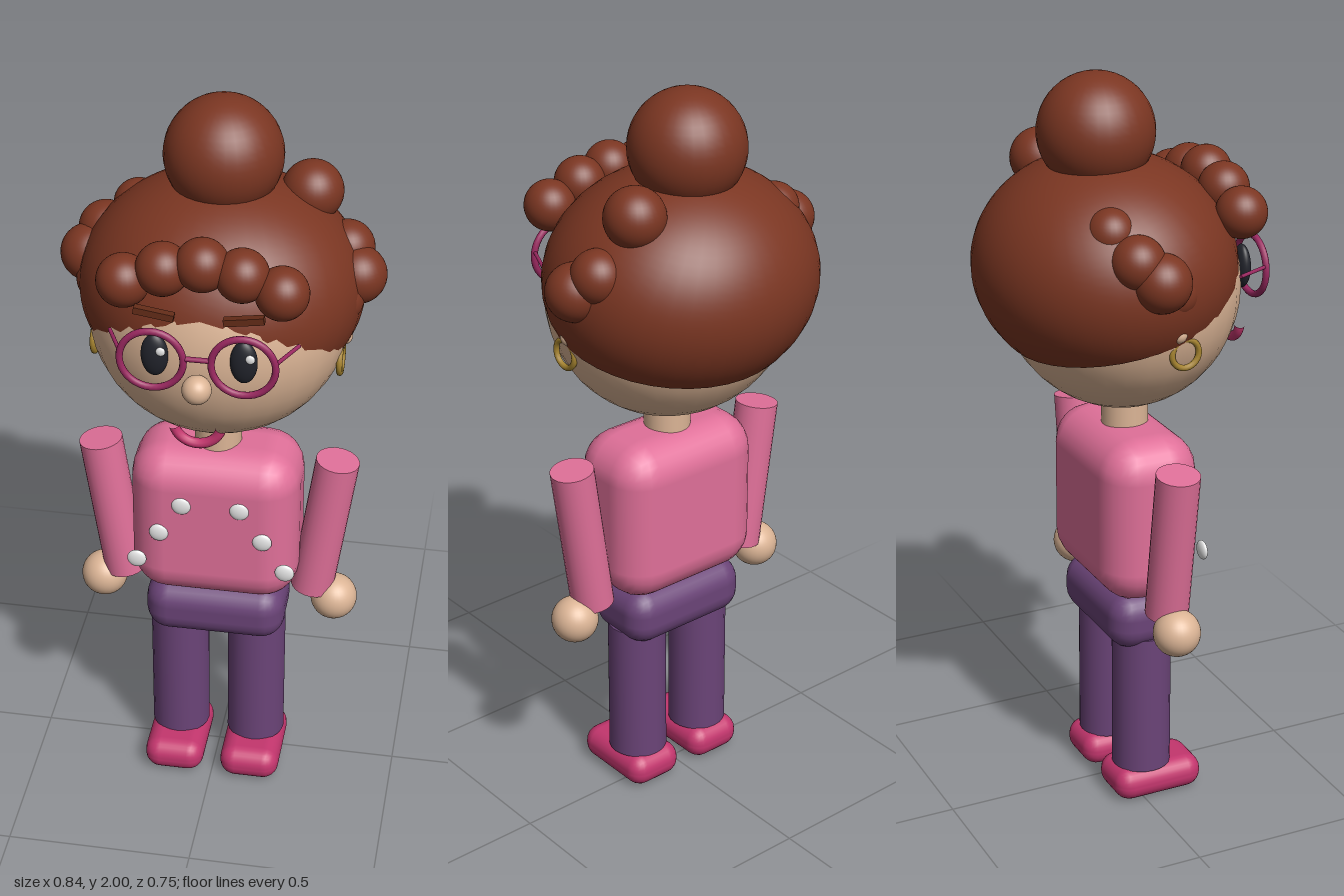
import * as THREE from 'three';
import { RoundedBoxGeometry } from 'three/addons/geometries/RoundedBoxGeometry.js';

const mat = (name, color, side = THREE.FrontSide) => {
  const m = new THREE.MeshStandardMaterial({ color, side });
  m.name = name;
  return m;
};

export function createModel() {
  const hair = mat('auburn hair', 0x7b3622, THREE.DoubleSide);
  const brow = mat('dark brow', 0x642c18);
  const skin = mat('skin', 0xdcb596);
  const pink = mat('pink sweater', 0xe07099);
  const purple = mat('purple trousers', 0x6b4478);
  const crimson = mat('crimson', 0xc4366e);
  const frame = mat('berry glasses', 0x9a2860);
  const gold = mat('gold', 0xa5832f);
  const pearl = mat('pearl', 0xe6e6e6);
  const dark = mat('eye black', 0x22242c);

  const model = new THREE.Group();
  model.name = 'character';
  const Z = 0.018; // depth of the body's centre line

  const add = (name, geometry, material, x, y, z) => {
    const mesh = new THREE.Mesh(geometry, material);
    mesh.name = name;
    mesh.position.set(x, y, z);
    model.add(mesh);
    return mesh;
  };
  const ball = (name, r, material, x, y, z, sx = 1, sy = 1, sz = 1) => {
    const mesh = add(name, new THREE.SphereGeometry(r, 32, 24), material, x, y, z);
    mesh.scale.set(sx, sy, sz);
    return mesh;
  };
  const rod = (name, r, a, b, material, sides = 24) => {
    const from = new THREE.Vector3(...a), to = new THREE.Vector3(...b);
    const dir = to.clone().sub(from);
    const mid = from.clone().add(to).multiplyScalar(0.5);
    const mesh = add(name, new THREE.CylinderGeometry(r, r, dir.length(), sides), material, mid.x, mid.y, mid.z);
    mesh.quaternion.setFromUnitVectors(new THREE.Vector3(0, 1, 0), dir.normalize());
    return mesh;
  };

  // Body
  add('torso', new RoundedBoxGeometry(0.45, 0.455, 0.27, 3, 0.1), pink, 0, 0.833, Z);
  add('hips', new RoundedBoxGeometry(0.38, 0.16, 0.22, 3, 0.065), purple, 0, 0.54, Z);
  rod('neck', 0.062, [0, 1.03, Z], [0, 1.16, Z], skin);

  // Head and nose
  ball('head', 1, skin, 0, 1.45, 0, 0.335, 0.33, 0.31);
  ball('nose', 0.037, skin, 0, 1.41, 0.336);

  // Hair cap: open shell cut low at the back, with a bun on top
  const cap = new THREE.SphereGeometry(1, 40, 28, 0, Math.PI * 2, 0, 2.044);
  cap.rotateX(-0.29);
  const capMesh = add('hairCap', cap, hair, 0, 1.5, -0.04);
  capMesh.scale.set(0.365, 0.295, 0.338);
  ball('bun', 0.151, hair, 0, 1.849, -0.062);

  // Fringe curls
  for (let i = -2; i <= 2; i++) {
    ball('fringeCurl', 0.067, hair, i * 0.097, [1.71, 1.69, 1.65][Math.abs(i)], 0.25);
  }
  // Loose curls on the crown
  ball('crownCurlLeft', 0.079, hair, 0.215, 1.735, -0.122);
  ball('crownCurlRight', 0.065, hair, -0.23, 1.655, -0.13);

  // Smile
  const arc = Math.PI * 0.84;
  const smile = add('mouth', new THREE.TorusGeometry(0.06, 0.013, 12, 28, arc), crimson, 0, 1.308, 0.326);
  smile.rotation.z = -Math.PI / 2 - arc / 2;

  // Glasses bridge
  rod('glassesBridge', 0.007, [-0.036, 1.49, 0.327], [0.036, 1.49, 0.327], frame, 10);

  for (const s of [-1, 1]) {
    // Side curls
    ball('sideCurl', 0.075, hair, s * 0.343, 1.55, -0.045);
    ball('sideCurlUpper', 0.07, hair, s * 0.31, 1.598, -0.095);
    ball('sideCurlLower', 0.065, hair, s * 0.302, 1.505, 0.005);

    // Eyes, highlights and brows
    ball('eye', 1, dark, s * 0.11, 1.478, 0.3, 0.034, 0.058, 0.02);
    ball('eyeHighlight', 0.012, pearl, s * 0.11 + 0.018, 1.497, 0.316, 1, 1, 0.5);
    const b = add('eyebrow', new THREE.BoxGeometry(0.1, 0.018, 0.02), brow, s * 0.11, 1.595, 0.3);
    b.rotation.z = s * 0.15;

    // Glasses rim and temple
    add('glassesRim', new THREE.TorusGeometry(0.079, 0.009, 10, 36), frame, s * 0.113, 1.48, 0.327);
    rod('glassesTemple', 0.005, [s * 0.19, 1.495, 0.327], [s * 0.235, 1.495, 0.23], frame, 10);

    // Ear lobe and hoop earring
    ball('earLobe', 0.023, skin, s * 0.32, 1.402, 0.012);
    const hoop = add('earring', new THREE.TorusGeometry(0.037, 0.008, 10, 28), gold, s * 0.317, 1.347, 0.034);
    hoop.rotation.y = Math.PI / 2;

    // Arm and hand
    rod('arm', 0.058, [s * 0.317, 1.022, Z], [s * 0.258, 0.607, Z], pink);
    ball('hand', 0.063, skin, s * 0.318, 0.575, Z);

    // Leg and shoe
    rod('leg', 0.08, [s * 0.107, 0.09, Z], [s * 0.107, 0.49, Z], purple);
    add('shoe', new RoundedBoxGeometry(0.165, 0.094, 0.255, 3, 0.044), crimson, s * 0.107, 0.047, 0.047);

    // Sweater pearls in a widening row
    for (let i = 0; i < 3; i++) {
      ball('sweaterPearl', 0.026, pearl, s * (0.077 + i * 0.061), 0.922 - i * 0.093, 0.151, 1, 1, 0.4);
    }
  }
  return model;
}
